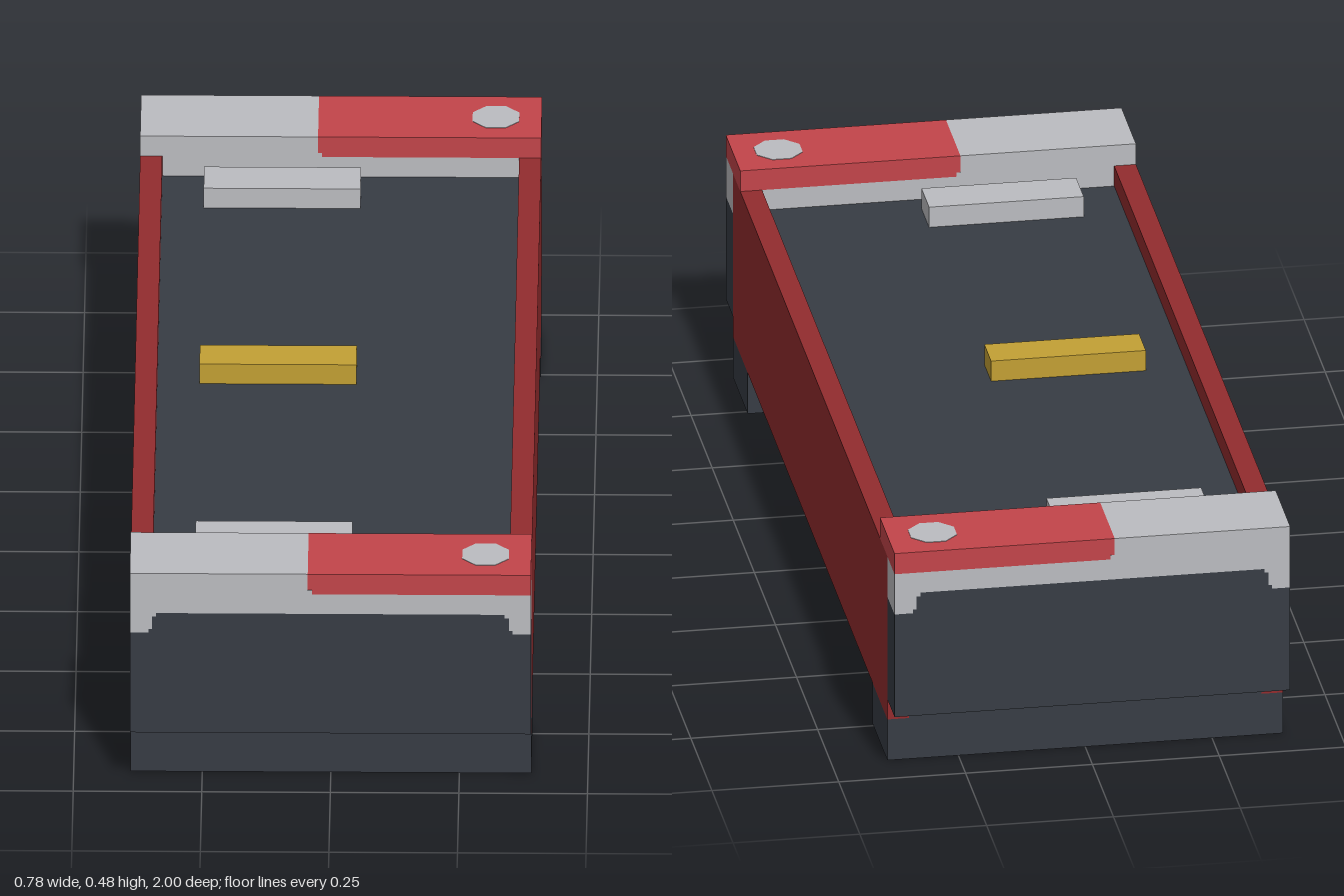
import * as THREE from 'three';

const paint = (name, color) => {
  const m = new THREE.MeshStandardMaterial({ color });
  m.name = name;
  return m;
};

export function createModel() {
  const dark = paint('charcoal', 0x373c44);
  const grey = paint('light grey', 0xbbbcc0);
  const red = paint('bright red', 0xc3454a);
  const maroon = paint('dark red', 0x922c2e);
  const yellow = paint('mustard', 0xc3a034);

  const model = new THREE.Group();
  model.name = 'case';

  // Box from its low and high corner on each axis
  const box = (parent, name, mat, [x0, x1], [y0, y1], [z0, z1]) => {
    const mesh = new THREE.Mesh(new THREE.BoxGeometry(x1 - x0, y1 - y0, z1 - z0), mat);
    mesh.position.set((x0 + x1) / 2, (y0 + y1) / 2, (z0 + z1) / 2);
    mesh.name = name;
    parent.add(mesh);
    return mesh;
  };
  // Outline in x and y, extruded from z0 to z1
  const slab = (parent, name, mat, points, z0, z1) => {
    const shape = new THREE.Shape(points.map(([x, y]) => new THREE.Vector2(x, y)));
    const geo = new THREE.ExtrudeGeometry(shape, { depth: z1 - z0, bevelEnabled: false });
    geo.translate(0, 0, z0);
    const mesh = new THREE.Mesh(geo, mat);
    mesh.name = name;
    parent.add(mesh);
  };

  const W = 0.39, IN = 0.347, L = 0.915, FOOT = 0.74;

  // Body with a flat floor, and rails underneath leaving two long grooves
  box(model, 'body', dark, [-IN, IN], [0.13, 0.392], [-L, L]);
  for (const [a, b] of [[-IN, -0.218], [-0.044, 0.044], [0.218, IN]]) {
    box(model, 'bottomRail', dark, [a, b], [0, 0.13], [-FOOT, FOOT]);
  }

  // Side walls
  for (const s of [-1, 1]) {
    const xs = s > 0 ? [IN, W] : [-W, -IN];
    box(model, 'sideWall', maroon, xs, [0.087, 0.435], [-L, L]);
  }

  // Bars on the floor
  const barX = [-0.265, 0.04];
  box(model, 'centreBar', yellow, barX, [0.392, 0.435], [-0.04, 0.04]);
  box(model, 'rearBar', grey, barX, [0.392, 0.435], [-0.785, -0.695]);
  box(model, 'frontBar', grey, barX, [0.392, 0.435], [0.695, 0.785]);

  // Stepped dark panel outline shared with the grey cap above it
  const steps = [[W, 0.349], [0.354, 0.349], [0.354, 0.357], [IN, 0.357],
    [IN, 0.384], [0.339, 0.384], [0.339, 0.392]];
  const edge = [...steps, ...steps.map(([x, y]) => [-x, y]).reverse()];
  const panel = [[-W, 0.13], [W, 0.13], ...edge];
  const cap = [[-W, 0.435], ...edge.slice().reverse(), [W, 0.435]];

  for (const s of [1, -1]) {
    const end = new THREE.Group();
    end.name = s > 0 ? 'frontEnd' : 'rearEnd';
    model.add(end);
    const span = (a, b) => (s > 0 ? [a, b] : [-b, -a]);

    // Foot
    box(end, 'foot', dark, [-W, W], [0, 0.087], span(FOOT, L));
    box(end, 'footNeck', dark, [-IN, IN], [0.087, 0.13], span(FOOT, L));

    // End panel and cap
    slab(end, 'endPanel', dark, panel, ...span(L, 1));
    slab(end, 'endCap', grey, cap.slice().reverse(), ...span(L, 1));
    box(end, 'capInner', grey, [-IN, IN], [0.392, 0.435], span(0.828, L));
    box(end, 'capTopGrey', grey, [-W, -0.044], [0.435, 0.479], span(0.828, 1));
    box(end, 'capTopRed', red, [-0.044, W], [0.435, 0.479], span(0.828, 1));
    // Small step of red hanging back from the boundary
    box(end, 'capStep', grey, [-0.044, -0.036], [0.435, 0.444], span(0.827, 1.0005));

    // Round dot on the cap
    const dot = new THREE.Mesh(new THREE.CylinderGeometry(0.049, 0.049, 0.002, 8), grey);
    dot.rotation.y = Math.PI / 8;
    dot.position.set(0.301, 0.479, s * 0.914);
    dot.name = 'dot';
    end.add(dot);
  }
  return model;
}
